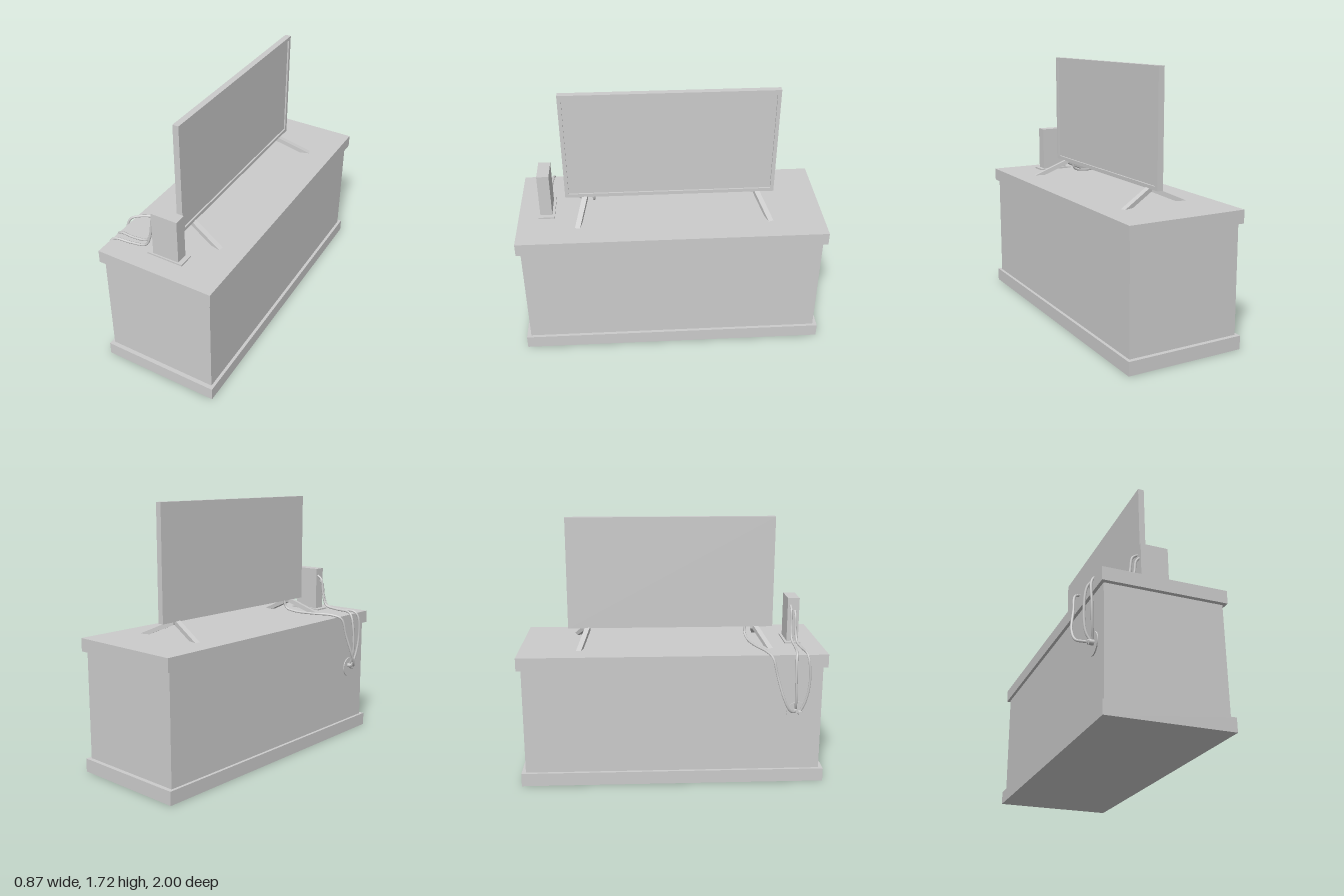
import * as THREE from 'three';

export function createModel() {
  const model = new THREE.Group();
  const material = new THREE.MeshStandardMaterial({ color: 0xcccccc });

  const add = (name, geometry, parent = model) => {
    const mesh = new THREE.Mesh(geometry, material);
    mesh.name = name;
    parent.add(mesh);
    return mesh;
  };
  const group = (name) => {
    const g = new THREE.Group();
    g.name = name;
    model.add(g);
    return g;
  };
  // Box given by its lower and upper corners
  const box = (name, [x0, y0, z0], [x1, y1, z1], parent) => {
    const mesh = add(name, new THREE.BoxGeometry(x1 - x0, y1 - y0, z1 - z0), parent);
    mesh.position.set((x0 + x1) / 2, (y0 + y1) / 2, (z0 + z1) / 2);
    return mesh;
  };

  // Cabinet with overhanging plinth and top
  const cabinet = group('cabinet');
  box('plinth', [-0.355, 0, -1], [0.435, 0.088, 1], cabinet);
  box('cabinetBody', [-0.335, 0.088, -0.972], [0.415, 0.795, 0.972], cabinet);
  box('cabinetTop', [-0.355, 0.795, -1], [0.435, 0.88, 1], cabinet);

  // Television: slab, recessed screen and raised bezel facing +x
  const tv = group('television');
  const rect = (S, w, h) => new S([
    new THREE.Vector2(-w, -h), new THREE.Vector2(w, -h),
    new THREE.Vector2(w, h), new THREE.Vector2(-w, h)]);
  box('backPanel', [0.02, 0.975, -0.692], [0.03, 1.718, 0.692], tv);
  box('screen', [0.03, 1, -0.668], [0.05, 1.695, 0.668], tv);
  const frame = rect(THREE.Shape, 0.692, 0.3715);
  frame.holes.push(rect(THREE.Path, 0.668, 0.3475));
  const bezel = add('bezel', new THREE.ExtrudeGeometry(frame, { depth: 0.03, bevelEnabled: false }), tv);
  bezel.rotation.y = Math.PI / 2;
  bezel.position.set(0.03, 1.3465, 0);

  // Splayed legs: a sloping bar with a flat-cut foot
  const bar = new THREE.Shape([
    new THREE.Vector2(0, 0.955), new THREE.Vector2(0.175, 0.88),
    new THREE.Vector2(0.243, 0.88), new THREE.Vector2(0, 0.987)]);
  const legGeometry = new THREE.ExtrudeGeometry(bar, { depth: 0.034, bevelEnabled: false });
  legGeometry.translate(0, 0, -0.017);
  const legs = [
    ['frontLeg', 0.56, 0.21], ['backLeg', 0.575, Math.PI - 0.31],
    ['frontLeg', -0.575, -0.31], ['backLeg', -0.56, Math.PI + 0.21]];
  for (const [name, z, angle] of legs) {
    const leg = add(name, legGeometry, tv);
    leg.position.set(0.04, 0, z);
    leg.rotation.y = -angle;
  }

  // Upright console on a small stand
  const consoleBox = group('console');
  box('consoleStand', [-0.085, 0.88, 0.763], [0.16, 0.89, 0.868], consoleBox);
  box('consoleBody', [-0.05, 0.89, 0.78], [0.13, 1.185, 0.858], consoleBox);

  // Cables running over the back edge down to the socket
  const cables = group('cables');
  const cable = (name, points) => add(name, new THREE.TubeGeometry(
    new THREE.CatmullRomCurve3(points.map((p) => new THREE.Vector3(...p))), 60, 0.008, 8), cables);
  cable('televisionCable', [
    [0.03, 0.98, 0.5], [0.01, 0.925, 0.505], [-0.06, 0.905, 0.515], [-0.2, 0.9, 0.55],
    [-0.33, 0.895, 0.605], [-0.385, 0.87, 0.635], [-0.405, 0.75, 0.665],
    [-0.43, 0.6, 0.71], [-0.42, 0.525, 0.75], [-0.385, 0.505, 0.785], [-0.345, 0.5, 0.8]]);
  cable('consoleCable', [
    [-0.045, 1.135, 0.8], [-0.08, 1.11, 0.8], [-0.1, 1, 0.8], [-0.13, 0.92, 0.8],
    [-0.22, 0.9, 0.803], [-0.34, 0.89, 0.795], [-0.368, 0.85, 0.79],
    [-0.385, 0.7, 0.79], [-0.375, 0.56, 0.795], [-0.345, 0.5, 0.8]]);
  cable('consoleCable', [
    [-0.045, 1.1, 0.83], [-0.07, 1.07, 0.83], [-0.085, 0.98, 0.832], [-0.12, 0.91, 0.835],
    [-0.22, 0.892, 0.845], [-0.34, 0.888, 0.86], [-0.368, 0.85, 0.87],
    [-0.37, 0.7, 0.88], [-0.36, 0.57, 0.86], [-0.345, 0.49, 0.83]]);

  // Wall socket with plugs on the back of the cabinet
  const socket = group('socket');
  const plate = add('socketPlate', new THREE.CylinderGeometry(0.072, 0.072, 0.008, 20), socket);
  plate.rotation.z = Math.PI / 2;
  plate.position.set(-0.338, 0.485, 0.815);
  for (const [y, z] of [[0.5, 0.8], [0.485, 0.83]]) {
    const plug = add('plug', new THREE.CylinderGeometry(0.014, 0.018, 0.03, 12), socket);
    plug.rotation.z = Math.PI / 2;
    plug.position.set(-0.355, y, z);
  }
  return model;
}
